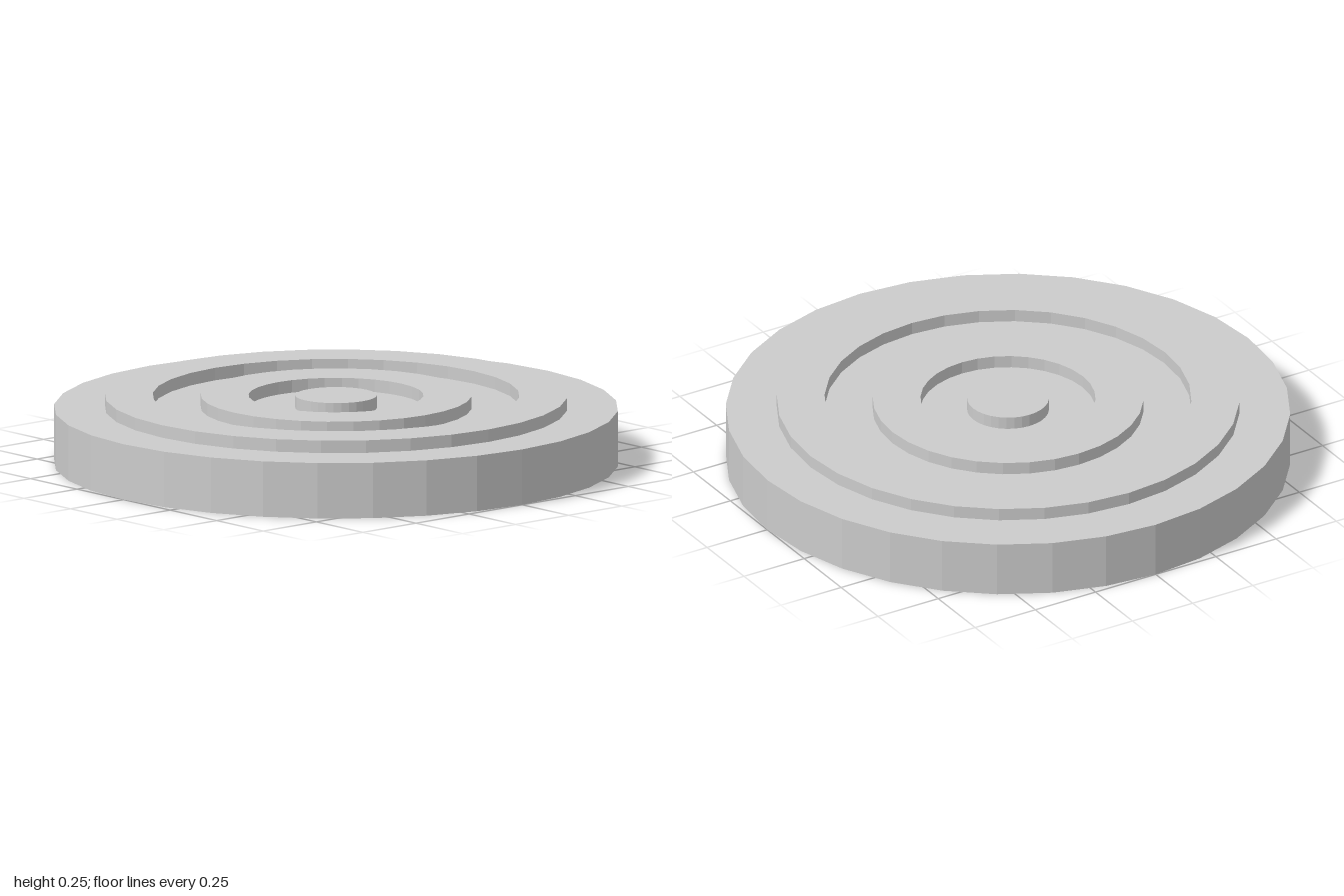
import * as THREE from 'three';

const SIDES = 32;
const BASE_HEIGHT = 0.2;
const TOP = 0.245;

export function createModel() {
  const group = new THREE.Group();
  const material = new THREE.MeshStandardMaterial({ color: 0xcccccc, flatShading: true });

  // Revolves an [radius, height] profile, listed from the outer foot over the top to the inside
  const addTurned = (name, profile) => {
    const points = profile.map(([r, y]) => new THREE.Vector2(r, y));
    const mesh = new THREE.Mesh(new THREE.LatheGeometry(points, SIDES), material);
    mesh.name = name;
    group.add(mesh);
  };

  // Thick round base
  addTurned('base', [[0, 0], [1, 0], [1, BASE_HEIGHT], [0, BASE_HEIGHT]]);

  // Raised concentric rings, open underneath where they rest on the base
  const rings = [['outerRing', 0.82, 0.65], ['innerRing', 0.48, 0.31]];
  for (const [name, outer, inner] of rings) {
    addTurned(name, [[outer, BASE_HEIGHT], [outer, TOP], [inner, TOP], [inner, BASE_HEIGHT]]);
  }

  // Raised button in the middle
  addTurned('centreButton', [[0.145, BASE_HEIGHT], [0.145, TOP], [0, TOP]]);

  return group;
}
